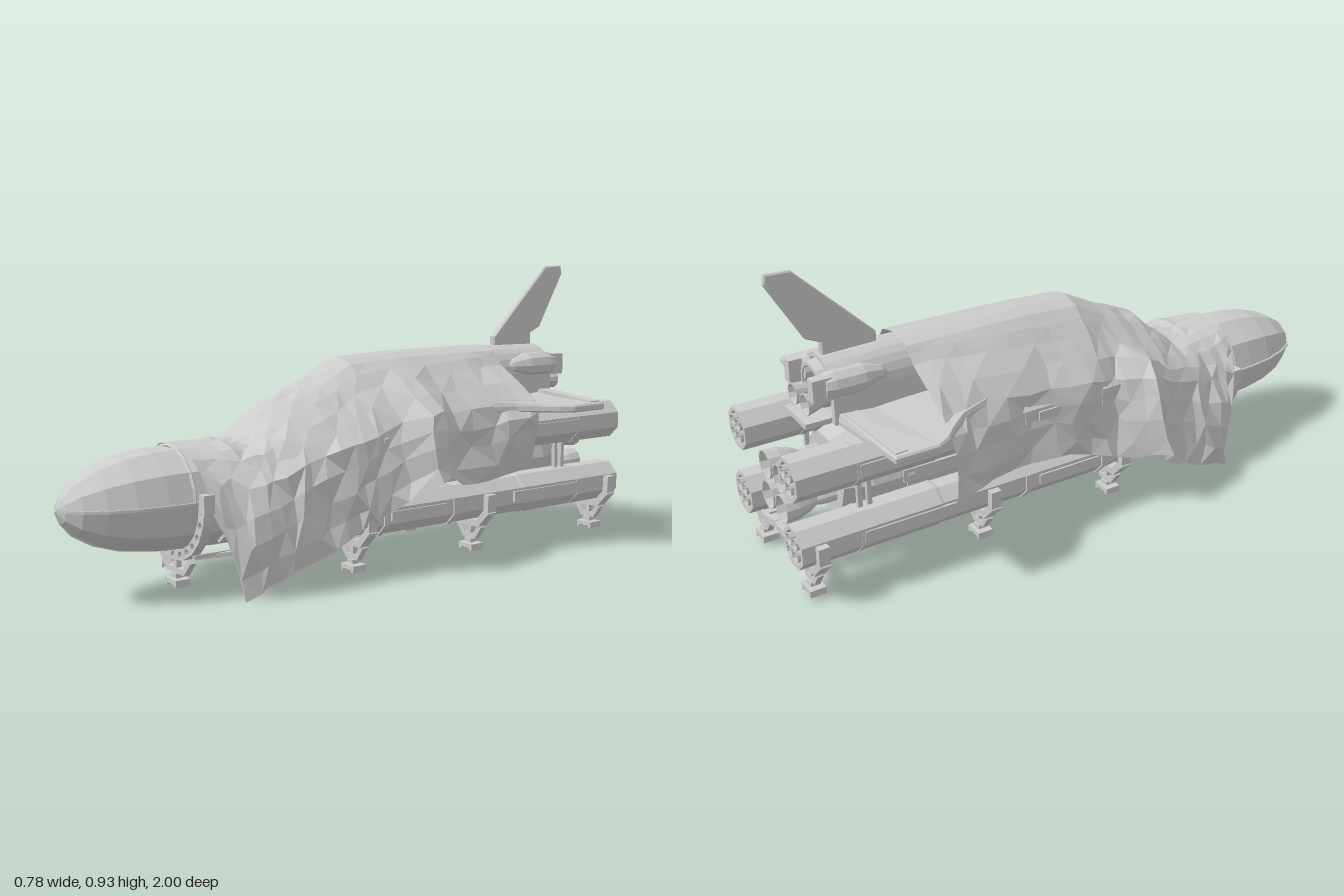
import * as THREE from 'three';

const mat = new THREE.MeshStandardMaterial({ color: 0xcccccc, flatShading: true });
const thin = new THREE.MeshStandardMaterial({ color: 0xcccccc, flatShading: true, side: THREE.DoubleSide });
const V = (x, y, z) => new THREE.Vector3(x, y, z);

function add(parent, name, geo, x = 0, y = 0, z = 0, m = mat) {
  const mesh = new THREE.Mesh(geo, m);
  mesh.name = name;
  mesh.position.set(x, y, z);
  parent.add(mesh);
  return mesh;
}
const box = (p, name, w, h, d, x, y, z) => add(p, name, new THREE.BoxGeometry(w, h, d), x, y, z);

// body of revolution along z from [radius, z] points, back to front
function turned(p, name, pts, x, y, sides, m = mat) {
  const geo = new THREE.LatheGeometry(pts.map(q => new THREE.Vector2(...q)), sides, Math.PI / sides);
  return add(p, name, geo.rotateX(Math.PI / 2), x, y, 0, m);
}
// box-section bar between two points
function bar(p, name, a, b, w, d = w) {
  const mesh = add(p, name, new THREE.BoxGeometry(w, d, a.distanceTo(b) + w * 0.5));
  mesh.position.copy(a).add(b).multiplyScalar(0.5);
  mesh.lookAt(b);
}
// straight-edged plate
function plate(pts, depth, bevel = 0) {
  return new THREE.ExtrudeGeometry(new THREE.Shape(pts.map(q => new THREE.Vector2(...q))),
    { depth, bevelEnabled: bevel > 0, bevelSize: bevel, bevelThickness: bevel, bevelSegments: 1 });
}
// skin through rows of points
function skin(rows) {
  const n = rows[0].length, idx = [];
  for (let i = 0; i < rows.length - 1; i++) for (let j = 0; j < n - 1; j++) {
    const a = i * n + j, b = a + n;
    if ((i + j) % 2) idx.push(a, b, a + 1, a + 1, b, b + 1);
    else idx.push(a, b, b + 1, a, b + 1, a + 1);
  }
  const geo = new THREE.BufferGeometry().setFromPoints(rows.flat());
  geo.setIndex(idx);
  geo.computeVertexNormals();
  return geo;
}

const CY = 0.282; // height of the core axis

function core() {
  const g = new THREE.Group();
  g.name = 'coreStage';
  const nose = [[0.157, 0.6], [0.151, 0.72], [0.138, 0.81], [0.112, 0.89], [0.077, 0.95], [0.037, 0.985], [0, 1]];
  turned(g, 'coreBody', [[0, -0.8], [0.125, -0.8], [0.135, -0.77], [0.157, -0.72], ...nose], 0, CY, 10);
  // horizontal rim and lower keel seam on the nose
  const outline = [...nose.map(([r, z]) => [r + 0.004, z]), ...nose.slice(0, -1).reverse().map(([r, z]) => [-r - 0.004, z])];
  add(g, 'noseRim', plate(outline, 0.008).rotateX(Math.PI / 2), 0, CY + 0.008, 0);
  const keel = [...nose.map(([r, z]) => [r + 0.002, z]), [0, 0.6]];
  add(g, 'noseKeel', plate(keel, 0.006).rotateX(Math.PI / 2).rotateZ(-Math.PI / 2), -0.003, CY, 0);
  // hoops and lengthwise ducts
  for (const z of [0.3, 0.02, -0.3, -0.6])
    turned(g, 'hoop', [[0.15, z - 0.01], [0.162, z - 0.01], [0.162, z + 0.01], [0.15, z + 0.01]], 0, CY, 10);
  for (const a of [-2.2, -1.57, -0.94, 0, Math.PI])
    box(g, 'duct', 0.018, 0.04, 1.15, 0.15 * Math.cos(a), CY + 0.15 * Math.sin(a), -0.05).rotation.z = a;
  // main engines
  for (const sx of [-1, 1]) for (const sy of [-1, 1])
    turned(g, 'mainEngine', [[0.041, -0.965], [0.046, -0.965], [0.043, -0.925], [0.032, -0.89], [0.018, -0.86], [0.022, -0.84], [0.022, -0.79]],
      sx * 0.05, CY + sy * 0.05, 12, thin);
  return g;
}

function booster(x, y) {
  const g = new THREE.Group();
  g.name = 'booster';
  const s = Math.sign(x);
  turned(g, 'boosterBody', [[0.054, -0.965], [0.054, -0.99], [0.068, -0.99], [0.068, -0.55], [0.065, -0.54], [0.065, 0.05],
    [0.052, 0.14], [0.028, 0.23], [0, 0.27]], x, y, 8);
  turned(g, 'rearBulkhead', [[0, -0.966], [0.056, -0.966], [0.056, -0.95]], x, y, 8, thin);
  for (let i = 0; i < 4; i++) {
    const a = Math.PI / 4 + i * Math.PI / 2;
    turned(g, 'boosterNozzle', [[0.017, -0.995], [0.02, -0.995], [0.015, -0.975], [0.009, -0.96]],
      x + 0.028 * Math.cos(a), y + 0.028 * Math.sin(a), 10, thin);
  }
  for (const z of [-0.8, -0.25, 0.03])
    turned(g, 'boosterBand', [[0.05, z - 0.008], [0.07, z - 0.008], [0.07, z + 0.008], [0.05, z + 0.008]], x, y, 8);
  box(g, 'parachutePod', 0.016, 0.035, 0.3, x + s * 0.06, y, -0.65);
  box(g, 'parachutePod', 0.016, 0.03, 0.22, x + s * 0.058, y, -0.1);
  return g;
}

function orbiter() {
  const g = new THREE.Group();
  g.name = 'orbiter';
  // fuselage sections: z, half width, bottom, top
  const rows = [[-0.77, 0.001, 0.565, 0.567], [-0.77, 0.07, 0.49, 0.64], [-0.8, 0.08, 0.484, 0.648], [-0.8, 0.1, 0.475, 0.66],
    [-0.62, 0.088, 0.47, 0.664], [0.03, 0.08, 0.47, 0.655], [0.12, 0.07, 0.47, 0.58], [0.22, 0.05, 0.47, 0.52], [0.29, 0.01, 0.465, 0.48]
  ].map(([z, w, b, t]) => {
    const mid = b + (t - b) * 0.5, row = [];
    for (let i = 0; i <= 12; i++) {
      const a = i / 12 * Math.PI;
      row.push(V(w * Math.cos(a), mid + (t - mid) * Math.sin(a), z));
    }
    row.push(V(-w, b, z), V(w, b, z), row[0].clone());
    return row;
  });
  add(g, 'fuselage', skin(rows), 0, 0, 0, thin);
  turned(g, 'tailRing', [[0.055, -0.77], [0.058, -0.825], [0.068, -0.825], [0.075, -0.79]], 0, 0.57, 16, thin);
  // delta wing, elevons and body flap
  const half = [[0.07, 0.05], [0.13, -0.1], [0.27, -0.48], [0.32, -0.54], [0.365, -0.585], [0.387, -0.625], [0.387, -0.755], [0.1, -0.785]];
  const wing = plate([...half, ...half.map(([x, z]) => [-x, z]).reverse()], 0.014, 0.005).rotateX(Math.PI / 2);
  const p = wing.attributes.position;
  for (let i = 0; i < p.count; i++) if (p.getY(i) > 0) p.setY(i, p.getY(i) + 0.02 * (1 - Math.abs(p.getX(i)) / 0.4));
  add(g, 'wing', wing, 0, 0.489, 0);
  for (const s of [-1, 1]) {
    bar(g, 'elevon', V(s * 0.12, 0.5, -0.755), V(s * 0.365, 0.488, -0.735), 0.04, 0.022);
    turned(g, 'enginePod', [[0.015, -0.82], [0.036, -0.82], [0.043, -0.79], [0.042, -0.7], [0.024, -0.64], [0, -0.61]], s * 0.074, 0.594, 10);
    turned(g, 'podNozzle', [[0.03, -0.865], [0.034, -0.865], [0.026, -0.835], [0.014, -0.8], [0.014, -0.765]], s * 0.042, 0.535, 12, thin);
    box(g, 'thrusterBlock', 0.034, 0.07, 0.06, s * 0.082, 0.592, -0.83);
    bar(g, 'aftStrut', V(s * 0.06, 0.48, -0.6), V(s * 0.06, 0.4, -0.62), 0.016);
  }
  box(g, 'bodyFlap', 0.15, 0.016, 0.1, 0, 0.482, -0.83);
  bar(g, 'frontStrut', V(0, 0.49, 0.05), V(0, 0.41, 0.1), 0.02);
  // tail fin, thinner towards its tip
  const fin = plate([[-0.62, 0.655], [-0.62, 0.69], [-0.86, 0.922], [-0.93, 0.925], [-0.935, 0.9], [-0.83, 0.72], [-0.785, 0.7], [-0.785, 0.65]], 0.012, 0.004);
  fin.translate(0, 0, -0.006).rotateY(-Math.PI / 2);
  const f = fin.attributes.position;
  for (let i = 0; i < f.count; i++) f.setX(i, f.getX(i) * (1.35 - 2 * (f.getY(i) - 0.65)));
  add(g, 'tailFin', fin);
  return g;
}

function leg(p, x, z) {
  box(p, 'legPost', 0.016, 0.085, 0.016, x, 0.075, z);
  box(p, 'legCollar', 0.03, 0.012, 0.03, x, 0.045, z);
  box(p, 'foot', 0.064, 0.014, 0.05, x, 0.028, z);
  for (const s of [-1, 1]) box(p, 'footPad', 0.01, 0.012, 0.05, x + s * 0.026, 0.019, z);
}

function cradle() {
  const g = new THREE.Group();
  g.name = 'transportCradle';
  const path = (name, pts, z, w, d) => pts.slice(1).forEach((q, i) => bar(g, name, V(...pts[i], z), V(...q, z), w, d));
  for (const z of [0.1, -0.38, -0.935]) {
    path('waveBeam', [[-0.262, 0.2], [-0.26, 0.15], [-0.22, 0.108], [-0.14, 0.102], [-0.06, 0.122], [0.06, 0.122],
      [0.14, 0.102], [0.22, 0.108], [0.26, 0.15], [0.262, 0.2]], z, 0.034, 0.022);
    for (const s of [-1, 1]) {
      leg(g, s * 0.172, z);
      path('legBracket', [-0.05, -0.025, 0.025, 0.05].map((x, i) => [s * 0.172 + x, i % 3 ? 0.06 : 0.095]), z, 0.02, 0.016);
    }
  }
  // front leg with its bracket
  leg(g, 0, 0.62);
  path('frontBracket', [[-0.085, 0.098], [-0.05, 0.06], [0.05, 0.06], [0.085, 0.098]], 0.62, 0.02, 0.016);
  // perforated collar below the nose, hoop above
  const shape = new THREE.Shape();
  shape.absarc(0, 0, 0.19, Math.PI, Math.PI * 2, false);
  shape.absarc(0, 0, 0.158, Math.PI * 2, Math.PI, true);
  for (let i = 0; i < 13; i++) {
    const a = Math.PI * (1 + (i + 0.5) / 13), hole = new THREE.Path();
    hole.absarc(0.174 * Math.cos(a), 0.174 * Math.sin(a), 0.012, 0, Math.PI * 2, true);
    shape.holes.push(hole);
  }
  add(g, 'perforatedCollar', new THREE.ExtrudeGeometry(shape, { depth: 0.03, bevelEnabled: false, curveSegments: 5 }), 0, CY, 0.605);
  add(g, 'upperHoop', new THREE.TorusGeometry(0.153, 0.006, 4, 10, Math.PI), 0, CY, 0.642);
  for (const s of [-1, 1]) {
    box(g, 'collarHinge', 0.03, 0.055, 0.035, s * 0.178, CY + 0.005, 0.62);
    bar(g, 'sideRail', V(s * 0.1, 0.118, 0.62), V(s * 0.13, 0.118, -0.935), 0.012);
    bar(g, 'outriggerBeam', V(s * 0.08, 0.11, 0.6), V(s * 0.22, 0.13, 0.25), 0.014);
    // links between the upper and lower boosters
    for (const z of [-0.75, -0.78, -0.15]) bar(g, 'boosterLink', V(s * 0.18, 0.23, z), V(s * 0.18, 0.36, z), 0.014);
  }
  return g;
}

// draped sheet: half sections from crown to hem, front to back
const drape = [
  [0.645, 0, .437, .06, .434, .11, .408, .152, .37, .173, .325, .18, .27],
  [0.53, 0, .437, .07, .432, .14, .395, .195, .305, .25, .15, .233, 0],
  [0.42, 0, .43, .08, .43, .165, .4, .225, .33, .255, .2, .268, .055],
  [0.3, 0, .535, .07, .515, .16, .45, .24, .38, .27, .24, .28, .1],
  [0.15, 0, .605, .07, .58, .15, .51, .24, .42, .262, .28, .27, .16],
  [0.04, 0, .66, .07, .64, .14, .57, .235, .45, .255, .33, .265, .2],
  [-0.15, 0, .668, .07, .65, .14, .58, .23, .47, .25, .36, .25, .255],
  [-0.4, 0, .668, .072, .652, .13, .6, .24, .49, .262, .37, .262, .25],
  [-0.555, 0, .668, .075, .652, .115, .605, .28, .51, .325, .42, .31, .28]];

function sheet() {
  const noise = (i, j) => { const s = Math.sin(i * 127.1 + j * 311.7) * 43758.5453; return s - Math.floor(s); };
  const { smoothstep } = THREE.MathUtils;
  const rows = [], N = 24, M = 10;
  for (let i = 0; i <= N; i++) {
    const u = i / N * (drape.length - 1), k = Math.min(Math.floor(u), drape.length - 2), f = u - k;
    const c = drape[k].map((v, n) => v + (drape[k + 1][n] - v) * f), row = [];
    const curve = new THREE.SplineCurve([0, 1, 2, 3, 4, 5].map(n => new THREE.Vector2(c[1 + n * 2], c[2 + n * 2])));
    for (let j = -M; j <= M; j++) {
      const t = Math.abs(j) / M, s = Math.sign(j), q = curve.getPoint(t), edge = i === 0 || i === N;
      const loose = smoothstep(t, 0.2, 0.6);
      // crumples, long folds and one flared pleat on each side
      const [pz, pw, ph] = s > 0 ? [-0.11, 0.08, 0.115] : [0.19, 0.05, 0.09];
      const flare = loose * t * Math.exp(-(((c[0] - pz) / pw) ** 2));
      // rear corner tucked in on the left, kicked out on the right
      const corner = smoothstep(-c[0], 0.38, 0.55) * smoothstep(t, 0.5, 1) * (s > 0 ? -0.045 : 0.045);
      const out = corner + flare * ph + loose * (edge ? 0 : (noise(i, j) - 0.4) * 0.024 + 0.008 * Math.sin(c[0] * 21 + t * 6 + s));
      const z = c[0] + (edge ? 0 : loose * (noise(j, i + 50) - 0.5) * 0.03) - 0.035 * t * Math.max(0, 1 - u);
      // the front slope is wrinkled right up to the crown
      const slope = smoothstep(c[0], 0.1, 0.25) * (c[0] < 0.5 ? 0.5 : 0);
      const crease = edge ? 0 : (loose + slope) * (1 - t) * (noise(i + 9, j) - 0.4) * 0.034;
      row.push(V(s * (q.x + out), Math.max(0, q.y + crease + flare * 0.06), z));
    }
    rows.push(row);
  }
  return add(new THREE.Group(), 'drapedSheet', skin(rows), 0, 0, 0, thin);
}

export function createModel() {
  const model = new THREE.Group();
  model.name = 'coveredLaunchStack';
  model.add(core(), orbiter(), cradle(), sheet());
  for (const x of [-0.183, 0.183]) for (const y of [0.184, 0.4]) model.add(booster(x, y));
  return model;
}
